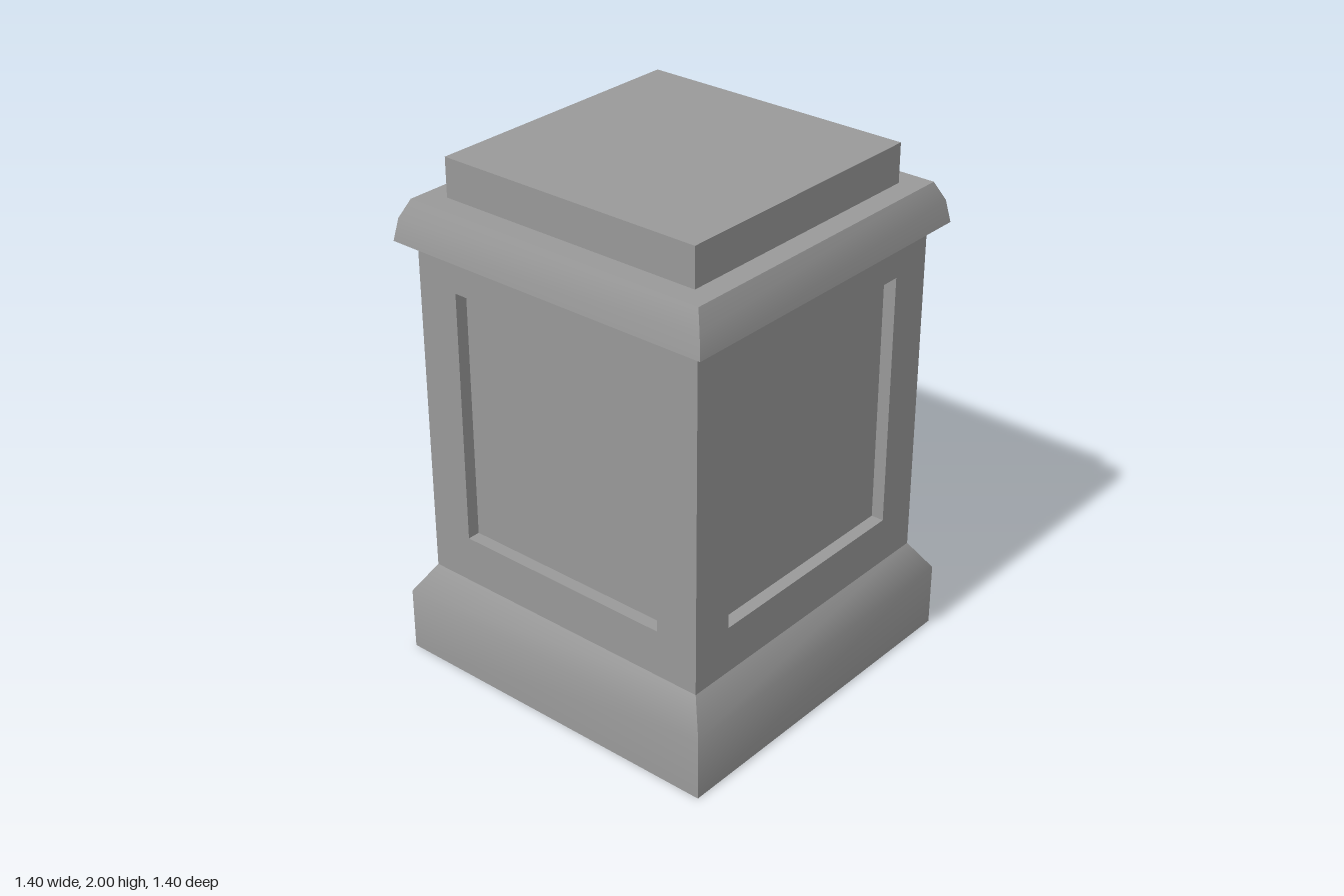
import * as THREE from 'three';
import { mergeGeometries } from 'three/addons/utils/BufferGeometryUtils.js';

const stone = new THREE.MeshStandardMaterial({ color: 0x999999 });

function part(name, geometry) {
  const mesh = new THREE.Mesh(geometry, stone);
  mesh.name = name;
  return mesh;
}

// Repeats a front-facing geometry on all four sides
function fourSides(geometry) {
  const sides = [];
  for (let i = 0; i < 4; i++) sides.push(geometry.clone().rotateY(i * Math.PI / 2));
  return mergeGeometries(sides);
}

// Square moulding with mitred corners, smooth along its profile of [half width, y]
function moulding(profile) {
  const positions = [], uvs = [], index = [];
  profile.forEach(([r, y], i) => {
    positions.push(-r, y, r, r, y, r);
    uvs.push(0, y, 1, y);
    if (i > 0) {
      const a = 2 * i - 2;
      index.push(a, a + 1, a + 3, a, a + 3, a + 2);
    }
  });
  const side = new THREE.BufferGeometry();
  side.setAttribute('position', new THREE.Float32BufferAttribute(positions, 3));
  side.setAttribute('uv', new THREE.Float32BufferAttribute(uvs, 2));
  side.setIndex(index);
  side.computeVertexNormals();

  // Flat closing faces below and above
  const lid = ([r, y], turn) =>
    new THREE.PlaneGeometry(2 * r, 2 * r).rotateX(turn * Math.PI / 2).translate(0, y, 0);
  return mergeGeometries([
    fourSides(side), lid(profile[0], 1), lid(profile[profile.length - 1], -1),
  ]);
}

// Closed rectangle, as a shape outline or a hole
function rectangle(Type, halfWidth, y0, y1) {
  const path = new Type();
  path.moveTo(-halfWidth, y0).lineTo(halfWidth, y0).lineTo(halfWidth, y1).lineTo(-halfWidth, y1);
  path.closePath();
  return path;
}

// Frame around the recessed panel, mitred where it meets its neighbours
function panelFrame(half, depth, y0, y1) {
  const shape = rectangle(THREE.Shape, half, y0, y1);
  shape.holes.push(rectangle(THREE.Path, 0.453, 0.55, 1.545));
  const frame = new THREE.ExtrudeGeometry(shape, { depth, bevelEnabled: false });
  frame.translate(0, 0, half - depth);
  const p = frame.attributes.position;
  for (let i = 0; i < p.count; i++) {
    if (Math.abs(p.getX(i)) > half - 0.01) p.setX(i, Math.sign(p.getX(i)) * p.getZ(i));
  }
  frame.computeVertexNormals();
  return frame;
}

export function createModel() {
  const model = new THREE.Group();
  model.name = 'pedestal';

  const half = 0.627, recess = 0.05, bottom = 0.365, top = 1.695;

  // Base with sloped shoulder
  model.add(part('base', moulding([[0.7, 0], [0.7, 0.25], [half, bottom]])));

  // Shaft: recessed panels with a frame on each side
  const shaft = new THREE.Group();
  shaft.name = 'shaft';
  const coreWidth = 2 * (half - recess);
  const core = new THREE.BoxGeometry(coreWidth, top - bottom, coreWidth);
  core.translate(0, (top + bottom) / 2, 0);
  shaft.add(part('recessedPanels', core));
  shaft.add(part('panelFrames', fourSides(panelFrame(half, recess, bottom, top))));
  model.add(shaft);

  // Rounded cornice and top block
  model.add(part('cornice', moulding([[0.685, top], [0.67, 1.78], [0.637, 1.85]])));
  model.add(part('topBlock', new THREE.BoxGeometry(1.1, 0.15, 1.1).translate(0, 1.925, 0)));

  return model;
}
